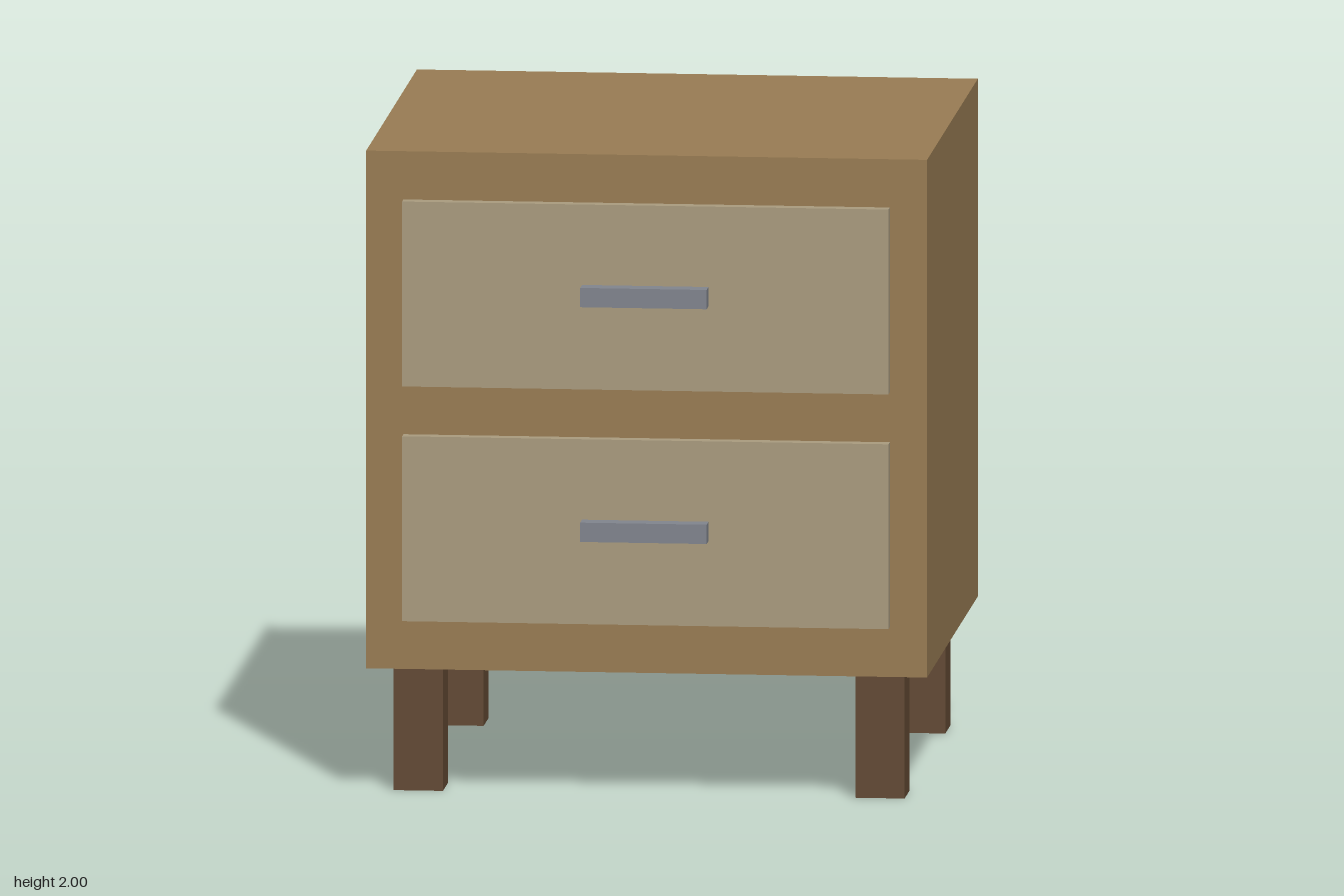
import * as THREE from 'three';

const material = (name, color) => {
  const m = new THREE.MeshStandardMaterial({ color });
  m.name = name;
  return m;
};

// Box given by its lower and upper limits on each axis
function box(name, mat, [x0, x1], [y0, y1], [z0, z1]) {
  const mesh = new THREE.Mesh(new THREE.BoxGeometry(x1 - x0, y1 - y0, z1 - z0), mat);
  mesh.position.set((x0 + x1) / 2, (y0 + y1) / 2, (z0 + z1) / 2);
  mesh.name = name;
  return mesh;
}

export function createModel() {
  const wood = material('warm wood', 0x9a7d54);
  const panel = material('pale wood', 0xab9d80);
  const darkWood = material('dark wood', 0x634a34);
  const metal = material('grey metal', 0x82868f);

  const model = new THREE.Group();
  model.name = 'nightstand';

  // Cabinet
  model.add(box('cabinet', wood, [-0.865, 0.865], [0.39, 2], [-0.817, 0.72]));

  // Drawers, each a front panel with a bar handle
  [['lowerDrawer', 0.545], ['upperDrawer', 1.275]].forEach(([name, y]) => {
    const drawer = new THREE.Group();
    drawer.name = name;
    drawer.add(
      box('drawerFront', panel, [-0.75, 0.75], [y, y + 0.575], [0.72, 0.76]),
      box('handle', metal, [-0.195, 0.195], [y + 0.265, y + 0.325], [0.76, 0.817])
    );
    model.add(drawer);
  });

  // Four square legs
  for (const [side, x] of [['Left', 0.712], ['Right', -0.712]]) {
    for (const [end, z] of [['front', 0.568], ['back', -0.664]]) {
      model.add(box(end + side + 'Leg', darkWood,
        [x - 0.076, x + 0.076], [0, 0.39], [z - 0.076, z + 0.076]));
    }
  }
  return model;
}
